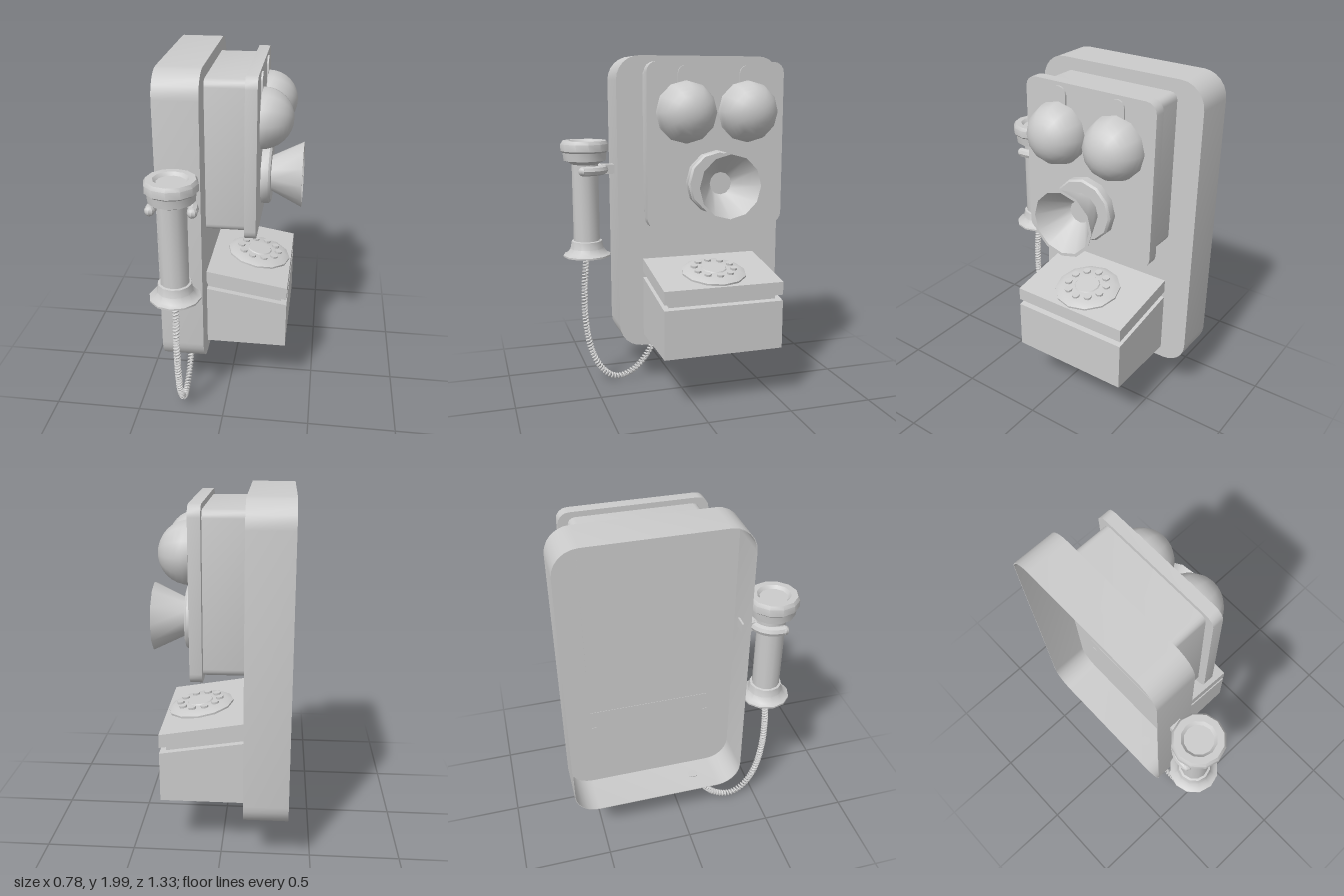
import * as THREE from 'three';
import { toCreasedNormals } from 'three/addons/utils/BufferGeometryUtils.js';

const material = new THREE.MeshStandardMaterial({ color: 0xcccccc, side: THREE.DoubleSide });
const CENTER_Z = -0.157;

function add(parent, name, geometry, x = 0, y = 0, z = 0) {
  const mesh = new THREE.Mesh(toCreasedNormals(geometry, 0.62), material);
  mesh.name = name;
  mesh.position.set(x, y, z);
  parent.add(mesh);
  return mesh;
}

function roundedRect(w, h, r, PathType = THREE.Shape) {
  const p = new PathType();
  const a = w / 2, b = h / 2;
  p.moveTo(a, b - r);
  p.absarc(a - r, b - r, r, 0, Math.PI / 2);
  p.absarc(r - a, b - r, r, Math.PI / 2, Math.PI);
  p.absarc(r - a, r - b, r, Math.PI, Math.PI * 1.5);
  p.absarc(a - r, r - b, r, Math.PI * 1.5, Math.PI * 2);
  return p;
}

// Slab lying in the zy plane, running from x0 to x1
function slab(shape, x0, x1, curveSegments) {
  const g = new THREE.ExtrudeGeometry(shape, { depth: x1 - x0, bevelEnabled: false, curveSegments });
  return g.rotateY(Math.PI / 2).translate(x0, 0, 0);
}

function lathe(points, sides = 12) {
  return new THREE.LatheGeometry(points.map(([r, y]) => new THREE.Vector2(r, y)), sides);
}

// Lathe whose axis points out of the phone's face
function faceLathe(points, sides) {
  return lathe(points, sides).rotateZ(-Math.PI / 2);
}

// Side profile (x, y) extruded across z, centred
function prism(points, width) {
  const shape = new THREE.Shape(points.map(([x, y]) => new THREE.Vector2(x, y)));
  return new THREE.ExtrudeGeometry(shape, { depth: width, bevelEnabled: false }).translate(0, 0, -width / 2);
}

// Coiled wire wound around a guide curve
class Coil extends THREE.Curve {
  constructor(guide, turns, radius) {
    super();
    Object.assign(this, { guide, turns, radius });
  }
  getPoint(t, target = new THREE.Vector3()) {
    const tangent = this.guide.getTangentAt(t);
    const side = new THREE.Vector3(1, 0, 0);
    const up = new THREE.Vector3().crossVectors(tangent, side);
    const a = t * this.turns * Math.PI * 2;
    return target.copy(this.guide.getPointAt(t))
      .addScaledVector(side, Math.cos(a) * this.radius)
      .addScaledVector(up, Math.sin(a) * this.radius);
  }
}

export function createModel() {
  const phone = new THREE.Group();
  phone.name = 'wallTelephone';

  // Back case: shell open at the wall side
  const rim = roundedRect(1.015, 1.74, 0.14);
  rim.holes.push(roundedRect(1.007, 1.732, 0.136, THREE.Path));
  add(phone, 'caseWall', slab(rim, -0.373, -0.13, 3), 0, 1.13, CENTER_Z);
  add(phone, 'caseFront', slab(roundedRect(1.013, 1.738, 0.139), -0.135, -0.13, 3), 0, 1.13, CENTER_Z);

  // Upper housing with its wider face plate
  add(phone, 'upperBox', slab(roundedRect(0.705, 0.86, 0.04), -0.138, 0.1, 2), 0, 1.5, CENTER_Z);
  add(phone, 'facePlate', slab(roundedRect(0.805, 0.92, 0.06), 0.09, 0.155, 2), 0, 1.5, CENTER_Z);

  // Twin bells on round-topped tabs
  for (const z of [0.025, -0.335]) {
    const dome = [[0, 0]];
    for (let i = 0; i <= 8; i++) {
      const a = (i / 8) * Math.PI / 2;
      dome.push([0.172 * Math.cos(a), 0.172 * Math.sin(a)]);
    }
    add(phone, 'bell', faceLathe(dome), 0.163, 1.687, z);
    add(phone, 'bellTab', slab(roundedRect(0.09, 0.24, 0.044), 0.15, 0.165, 4), 0, 1.82, z);
  }

  // Flared mouthpiece, hollow, on a stepped collar
  add(phone, 'mouthpieceCollar', faceLathe([
    [0, 0], [0.18, 0], [0.18, 0.045], [0.17, 0.057], [0.115, 0.057], [0, 0.057],
  ]), 0.153, 1.295, CENTER_Z);
  add(phone, 'mouthpieceHorn', faceLathe([
    [0.105, 0], [0.107, 0.01], [0.193, 0.185], [0.176, 0.185], [0.063, 0.02], [0, 0.02],
  ]), 0.205, 1.295, CENTER_Z);

  // Lower box with sloped lid and a recessed groove between
  const lowerBox = new THREE.Group();
  lowerBox.name = 'lowerBox';
  lowerBox.position.z = -0.152;
  phone.add(lowerBox);
  add(lowerBox, 'lowerBody', prism([[-0.138, 0.33], [0.337, 0.33], [0.337, 0.615], [-0.138, 0.692]], 0.71));
  add(lowerBox, 'lidGroove', prism([[-0.138, 0.6], [0.302, 0.6], [0.302, 0.68], [-0.138, 0.76]], 0.64));
  add(lowerBox, 'lid', prism([[-0.138, 0.728], [0.337, 0.65], [0.337, 0.726], [-0.138, 0.807]], 0.71));

  // Dial lying on the lid
  const dial = new THREE.Group();
  dial.name = 'dial';
  dial.position.set(0.14, 0.758, 0);
  dial.rotation.z = -0.168;
  lowerBox.add(dial);
  add(dial, 'dialPlate', lathe([[0, 0], [0.19, 0], [0.19, 0.012], [0.155, 0.03], [0.075, 0.03], [0.07, 0.036], [0, 0.036]]));
  for (let i = 0; i < 10; i++) {
    const a = (i / 10) * Math.PI * 2;
    add(dial, 'dialButton', new THREE.CylinderGeometry(0.022, 0.022, 0.014, 8),
      0.115 * Math.cos(a), 0.035, 0.115 * Math.sin(a));
  }

  // Hanging receiver
  const receiver = new THREE.Group();
  receiver.name = 'receiver';
  receiver.position.set(-0.248, 0, 0.52);
  phone.add(receiver);
  add(receiver, 'handset', lathe([
    [0, 0.822], [0.142, 0.822], [0.142, 0.832], [0.12, 0.842], [0.1, 0.87], [0.092, 0.915], [0.079, 0.918],
    [0.079, 1.375], [0.1, 1.39], [0.125, 1.398], [0.13, 1.445], [0.142, 1.455], [0.142, 1.495],
    [0.13, 1.514], [0.094, 1.514], [0.078, 1.497], [0, 1.497],
  ]));

  // Forked hook holding the receiver
  const fork = [];
  fork.push(new THREE.Vector3(0.11, 0, 0.03));
  for (let i = 0; i <= 8; i++) {
    const a = (i / 8) * Math.PI;
    fork.push(new THREE.Vector3(0.11 * Math.cos(a), 0, -0.11 * Math.sin(a)));
  }
  fork.push(new THREE.Vector3(-0.11, 0, 0.03));
  add(receiver, 'hookFork', new THREE.TubeGeometry(new THREE.CatmullRomCurve3(fork), 20, 0.028, 8), 0, 1.343, 0);
  for (const s of [-1, 1]) {
    add(receiver, 'hookTip', new THREE.SphereGeometry(0.028, 8, 6), s * 0.11, 1.343, 0.03);
  }
  add(receiver, 'hookStem', new THREE.BoxGeometry(0.07, 0.055, 0.085), 0, 1.343, -0.142);

  // Coiled cord from the receiver to the case underside
  const guide = new THREE.CatmullRomCurve3([
    [0.525, 0.825], [0.542, 0.6], [0.537, 0.39], [0.5, 0.2], [0.43, 0.075],
    [0.345, 0.027], [0.245, 0.06], [0.165, 0.14], [0.095, 0.26],
  ].map(([z, y]) => new THREE.Vector3(-0.248, y, z)));
  add(phone, 'cord', new THREE.TubeGeometry(new Coil(guide, 62, 0.014), 620, 0.007, 5));
  add(phone, 'cordSocket', new THREE.CylinderGeometry(0.03, 0.024, 0.02, 10), -0.248, 0.26, 0.09);

  return phone;
}
